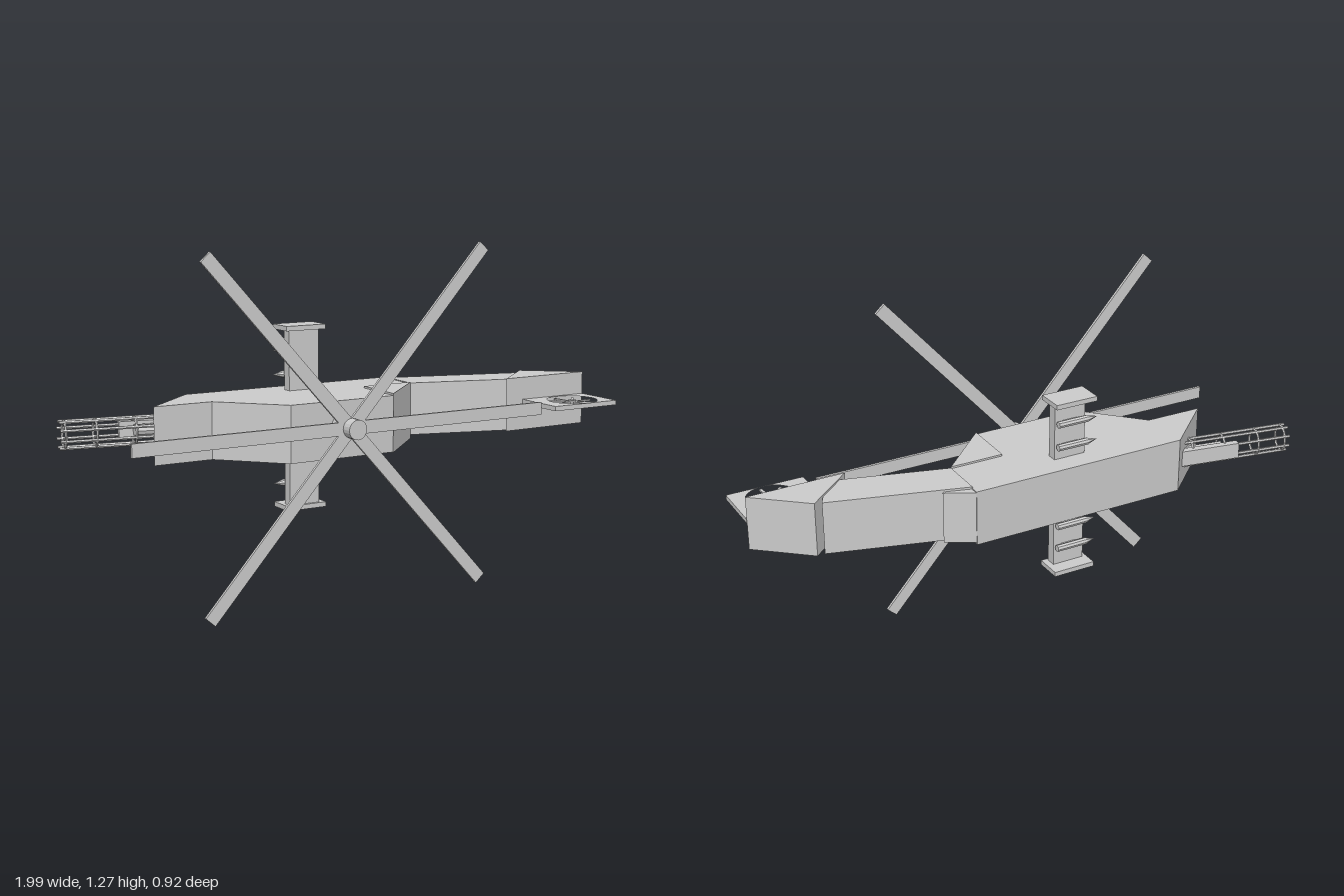
import * as THREE from 'three';

const TILT = -0.173; // the airframe lies on its side, pitched about y

export function createModel() {
  const model = new THREE.Group();
  const material = new THREE.MeshStandardMaterial({ color: 0xcccccc, flatShading: true });

  const add = (parent, name, geometry, x = 0, y = 0, z = 0) => {
    const mesh = new THREE.Mesh(geometry, material);
    mesh.name = name;
    mesh.position.set(x, y, z);
    parent.add(mesh);
    return mesh;
  };
  const group = (name, x, y, z, turn) => {
    const g = new THREE.Group();
    g.name = name;
    g.position.set(x, y, z);
    g.rotation.y = turn;
    model.add(g);
    return g;
  };
  // Upright slab from an (x, z) outline between two heights
  const slab = (outline, y0, y1, hole) => {
    const shape = new THREE.Shape(outline.map(([x, z]) => new THREE.Vector2(x, -z)));
    if (hole) shape.holes.push(hole);
    return new THREE.ExtrudeGeometry(shape, { depth: y1 - y0, bevelEnabled: false, curveSegments: 16 })
      .rotateX(-Math.PI / 2).translate(0, y0, 0);
  };
  const rodX = (r0, r1, length, sides) =>
    new THREE.CylinderGeometry(r0, r1, length, sides).rotateZ(Math.PI / 2);

  // Fuselage, engine cowl and tail
  add(model, 'fuselage', slab([[-0.495, -0.345], [0.34, -0.2], [0.3, 0], [0.055, 0.17],
    [-0.365, 0.1], [-0.525, -0.145], [-0.745, -0.185]], 0.522, 0.73));
  add(model, 'engineCowl', slab([[0.095, -0.035], [0.3, 0], [0.055, 0.17]], 0.52, 0.737));
  add(model, 'tailJoint', slab([[0.335, -0.2], [0.43, -0.125], [0.315, -0.04], [0.3, -0.01]], 0.53, 0.725));
  add(model, 'tailBoom', slab([[0.33, -0.165], [0.41, -0.125], [0.8, 0.065], [0.7, 0.195], [0.3, 0]], 0.534, 0.733));
  add(model, 'tailFin', slab([[0.83, 0.065], [0.988, 0.255], [0.62, 0.195]], 0.536, 0.74));

  // Shrouded tail fan
  const fan = group('tailFan', 0.825, 0.645, 0.333, TILT);
  const opening = new THREE.Path().absarc(0.01, -0.005, 0.096, 0, Math.PI * 2, true);
  add(fan, 'fanShroud', slab([[-0.147, -0.102], [0.147, -0.102], [0.147, 0.102], [-0.147, 0.102]],
    -0.009, 0.009, opening));
  add(fan, 'fanHub', new THREE.CylinderGeometry(0.016, 0.016, 0.016, 12), 0.01, 0, 0.005);
  for (let i = 0; i < 4; i++) {
    const blade = add(fan, 'fanBlade', new THREE.BoxGeometry(0.186, 0.006, 0.011), 0.01, 0, 0.005);
    blade.rotation.y = i * Math.PI / 4 + 0.1;
  }

  // Main rotor: three full-span bars make six arms
  const rotor = group('mainRotor', -0.178, 0.642, 0.205, TILT);
  add(rotor, 'rotorMast', new THREE.CylinderGeometry(0.036, 0.036, 0.17, 20).rotateX(Math.PI / 2), 0, 0, -0.037);
  for (const angle of [0, 0.836, -0.836]) {
    add(rotor, 'rotorBlade', new THREE.BoxGeometry(1.672, 0.048, 0.011)).rotation.z = angle;
  }

  // Stub wings with end plates and missiles
  const wings = group('stubWings', -0.095, 0.625, -0.17, TILT);
  add(wings, 'wing', new THREE.BoxGeometry(0.125, 0.66, 0.038));
  for (const side of [-1, 1]) {
    add(wings, 'wingEndPlate', new THREE.BoxGeometry(0.165, 0.018, 0.104), 0.004, side * 0.336, -0.022);
    for (const offset of [0.16, 0.25]) {
      const y = side * offset;
      add(wings, 'missilePylon', new THREE.BoxGeometry(0.06, 0.008, 0.03), 0, y, -0.026);
      add(wings, 'missile', rodX(0.013, 0.013, 0.12, 8), 0, y, -0.04);
      add(wings, 'missileNose', new THREE.ConeGeometry(0.013, 0.04, 8).rotateZ(Math.PI / 2), -0.08, y, -0.04);
    }
  }

  // Rotary nose gun, muzzle at local x = 0
  const gun = group('noseGun', -0.982, 0.626, -0.424, -0.352);
  for (let i = 0; i < 8; i++) {
    const a = (i + 0.5) * Math.PI / 4;
    add(gun, 'gunBarrel', rodX(0.006, 0.006, 0.44, 6), 0.22, 0.05 * Math.cos(a), 0.04 * Math.sin(a));
  }
  for (const x of [0.02, 0.13, 0.27, 0.4]) {
    const ring = add(gun, 'barrelRing', new THREE.TorusGeometry(0.049, 0.005, 6, 16).rotateY(Math.PI / 2), x);
    ring.scale.z = 0.82;
  }
  add(gun, 'gunSpindle', rodX(0.022, 0.022, 0.24, 10), 0.39);
  add(gun, 'gunMount', new THREE.BoxGeometry(0.28, 0.06, 0.028), 0.36, 0, -0.038);

  return model;
}
